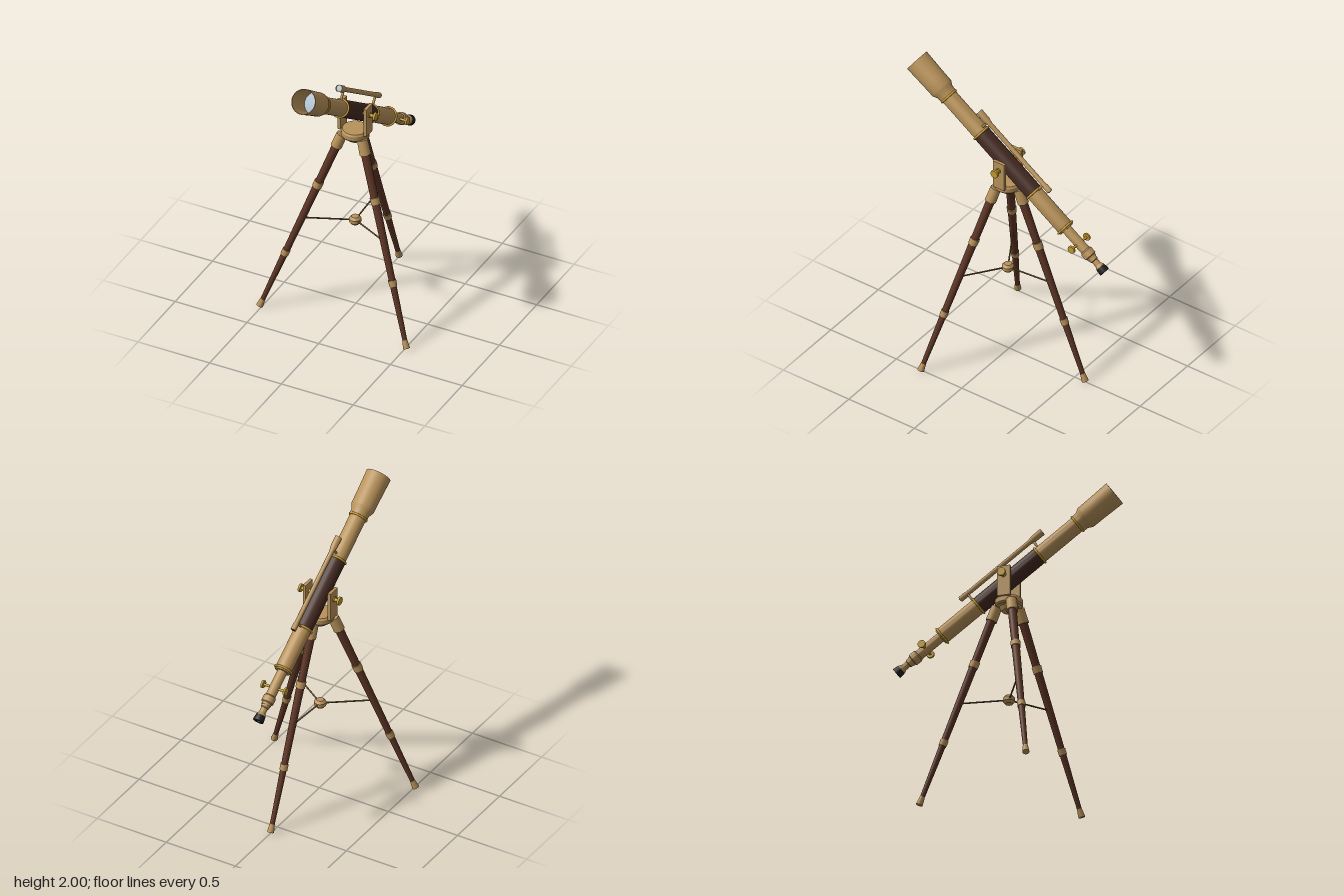
import * as THREE from 'three';
import { toCreasedNormals } from 'three/addons/utils/BufferGeometryUtils.js';

const paint = (name, color, side = THREE.FrontSide) => {
  const m = new THREE.MeshStandardMaterial({ color, side });
  m.name = name;
  return m;
};

export function createModel() {
  const brass = paint('brass', 0xb8925a);
  const gold = paint('gold', 0xc49a2c);
  const wood = paint('wood', 0x5c3424);
  const leather = paint('leather', 0x452a22);
  const black = paint('black', 0x1e1e1e);
  const glass = paint('glass', 0xa9bccb);
  const iron = paint('bronze rod', 0x6b5530);

  const add = (parent, name, geometry, material) => {
    const mesh = new THREE.Mesh(geometry, material);
    mesh.name = name;
    parent.add(mesh);
    return mesh;
  };
  // Turned part: profile of [radius, height], listed from bottom to top
  const turned = (parent, name, profile, material, segments = 32) => {
    const pts = profile.map(([r, y]) => new THREE.Vector2(r, y));
    return add(parent, name, toCreasedNormals(new THREE.LatheGeometry(pts, segments), 0.5), material);
  };
  // Tapered cylinder between two points
  const rod = (parent, name, a, b, ra, rb, material, segments = 20) => {
    const dir = b.clone().sub(a);
    const mesh = add(parent, name, new THREE.CylinderGeometry(rb, ra, dir.length(), segments), material);
    mesh.position.copy(a).add(b).multiplyScalar(0.5);
    mesh.quaternion.setFromUnitVectors(new THREE.Vector3(0, 1, 0), dir.normalize());
    return mesh;
  };
  const V = (x, y, z) => new THREE.Vector3(x, y, z);

  const model = new THREE.Group();
  model.name = 'telescope';
  const stand = new THREE.Group();
  stand.name = 'stand';
  stand.position.z = 0.01;
  model.add(stand);

  // Mount plate
  turned(stand, 'mountPlate', [[0, 1.235], [0.045, 1.235], [0.06, 1.262], [0.08, 1.265], [0.088, 1.275],
    [0.088, 1.305], [0.08, 1.317], [0, 1.317]], brass);

  // Yoke arms with clamping knobs
  for (const s of [1, -1]) {
    const arm = add(stand, 'yokeArm', new THREE.BoxGeometry(0.02, 0.2, 0.085), brass);
    arm.position.set(s * 0.09, 1.405, 0);
    rod(stand, 'pivotPin', V(s * 0.045, 1.445, 0), V(s * 0.14, 1.445, 0), 0.011, 0.011, gold);
    rod(stand, 'pivotWasher', V(s * 0.1, 1.445, 0), V(s * 0.107, 1.445, 0), 0.018, 0.018, gold);
    rod(stand, 'clampKnob', V(s * 0.133, 1.445, 0), V(s * 0.147, 1.445, 0), 0.027, 0.027, gold);
  }

  // Tripod legs: points on each leg follow one slanted line
  const legPoint = (y) => V(0, y, 0.593 - 0.4015 * y);
  const legParts = [
    ['legSocket', 1.185, 1.275, 0.036, 0.034, brass],
    ['upperLeg', 0.91, 1.2, 0.025, 0.028, wood],
    ['upperCollar', 0.885, 0.925, 0.03, 0.031, brass],
    ['middleLeg', 0.4, 0.9, 0.021, 0.026, wood],
    ['lowerCollar', 0.385, 0.422, 0.025, 0.026, brass],
    ['lowerLeg', 0.05, 0.4, 0.015, 0.021, wood],
    ['foot', 0.007, 0.058, 0.022, 0.016, brass],
  ];
  for (let i = 0; i < 3; i++) {
    const leg = new THREE.Group();
    leg.name = 'leg';
    leg.rotation.y = Math.PI / 3 + (i * Math.PI * 2) / 3;
    stand.add(leg);
    for (const [name, y0, y1, r0, r1, mat] of legParts) rod(leg, name, legPoint(y0), legPoint(y1), r0, r1, mat);
    rod(leg, 'braceRod', V(0, 0.632, 0.025), V(0, 0.657, 0.325), 0.005, 0.005, iron, 10);
  }

  // Brace hub
  turned(stand, 'braceHub', [[0, 0.603], [0.024, 0.603], [0.038, 0.619], [0.038, 0.642], [0.024, 0.658], [0, 0.658]], brass);

  // Optical tube: local y runs to the front lens, local -z is its upper side
  const tube = new THREE.Group();
  tube.name = 'opticalTube';
  tube.position.set(0, 1.445, 0.01);
  tube.rotation.x = THREE.MathUtils.degToRad(55);
  model.add(tube);

  turned(tube, 'rearTube', [[0, -0.55], [0.05, -0.55], [0.053, -0.54], [0.053, -0.24]], brass, 40);
  turned(tube, 'leatherWrap', [[0.05, -0.245], [0.056, -0.245], [0.056, 0.245], [0.05, 0.245]], leather, 40);
  turned(tube, 'frontTube', [[0.053, 0.24], [0.053, 0.56]], brass, 40);
  // Shield turns in at its lip and continues down its inner wall
  turned(tube, 'dewShield', [[0.053, 0.545], [0.058, 0.55], [0.06, 0.585], [0.076, 0.615], [0.077, 0.7], [0.081, 0.848],
    [0.077, 0.848], [0.073, 0.7], [0.073, 0.64], [0, 0.64]], brass, 40);
  turned(tube, 'frontLens', [[0.073, 0.652], [0.045, 0.656], [0, 0.658]], glass, 40);

  // Gold rings along the tube
  for (const y of [-0.535, -0.245, 0.247, 0.55]) {
    const ring = add(tube, 'tubeRing', new THREE.TorusGeometry(0.056, 0.007, 12, 40), gold);
    ring.rotation.x = Math.PI / 2;
    ring.position.y = y;
  }

  // Focuser and eyepiece
  turned(tube, 'drawTube', [[0.032, -0.74], [0.032, -0.54]], brass);
  turned(tube, 'drawTubeCollar', [[0, -0.79], [0.03, -0.79], [0.033, -0.775], [0.04, -0.77], [0.04, -0.73], [0.032, -0.722]], brass);
  turned(tube, 'eyepiece', [[0.03, -0.868], [0.03, -0.858], [0.021, -0.842], [0.021, -0.81], [0.027, -0.805], [0.027, -0.785]], brass);
  turned(tube, 'eyeCup', [[0, -0.892], [0.015, -0.892], [0.018, -0.903], [0.034, -0.903], [0.035, -0.895], [0.031, -0.862], [0, -0.862]], black);
  turned(tube, 'eyeLens', [[0, -0.895], [0.013, -0.895], [0.013, -0.89]], glass);
  rod(tube, 'focusAxle', V(-0.08, -0.665, 0), V(0.08, -0.665, 0), 0.008, 0.008, gold);
  for (const s of [1, -1]) {
    rod(tube, 'focusKnob', V(s * 0.074, -0.665, 0), V(s * 0.087, -0.665, 0), 0.025, 0.025, gold);
  }

  // Finder scope on two posts
  const finder = new THREE.Group();
  finder.name = 'finderScope';
  finder.position.z = -0.12;
  tube.add(finder);
  turned(finder, 'finderBody', [[0, -0.308], [0.018, -0.308], [0.018, -0.265], [0.015, -0.255], [0.015, 0.25],
    [0.022, 0.28], [0.023, 0.352], [0.019, 0.352], [0.019, 0.344], [0, 0.344]], brass, 24);
  turned(finder, 'finderLens', [[0.019, 0.347], [0, 0.349]], glass, 24);
  turned(finder, 'finderEyeLens', [[0, -0.311], [0.011, -0.311], [0.011, -0.307]], black, 24);
  for (const y of [0.27, -0.25]) rod(tube, 'finderPost', V(0, y, -0.05), V(0, y, -0.115), 0.008, 0.008, brass, 14);

  return model;
}
